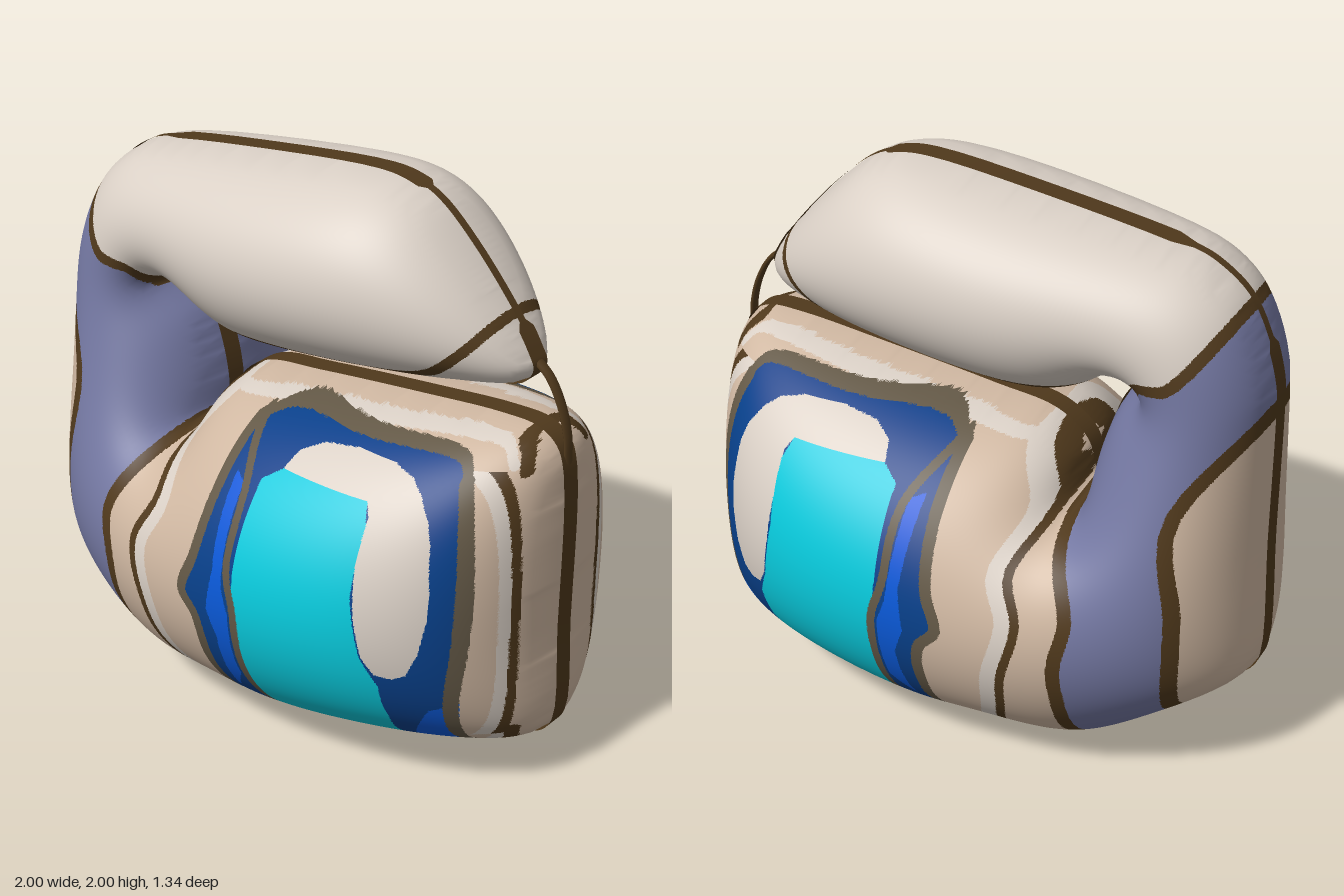
import * as THREE from 'three';

const mat = (name, color, side = THREE.FrontSide) => {
  const m = new THREE.MeshStandardMaterial({ color, side });
  m.name = name;
  return m;
};
const pairs = a => Array.from({ length: a.length / 2 }, (_, i) => [a[2 * i], a[2 * i + 1]]);

// nearest point on a polyline, as [distance, x, y]
function nearest(pts, x, y, closed) {
  let best = [Infinity, 0, 0];
  for (let i = closed ? 0 : 1; i < pts.length; i++) {
    const [ax, ay] = pts[(i + pts.length - 1) % pts.length], [bx, by] = pts[i];
    const dx = bx - ax, dy = by - ay;
    const t = Math.min(1, Math.max(0, ((x - ax) * dx + (y - ay) * dy) / (dx * dx + dy * dy || 1)));
    const px = ax + t * dx, py = ay + t * dy, d = Math.hypot(x - px, y - py);
    if (d < best[0]) best = [d, px, py];
  }
  return best;
}
function inside(pts, x, y) {
  let hit = false;
  pts.forEach(([ax, ay], i) => {
    const [bx, by] = pts[(i + 1) % pts.length];
    if (ay > y !== by > y && x < ax + (bx - ax) * (y - ay) / (by - ay)) hit = !hit;
  });
  return hit;
}

// side outline of body, neck and head
const outline = pairs([
  -.99, 1.4, -.99, .9, -.99, .44, -.96, .37, -.735, .2, -.52, .05, -.42, .01, -.29, .02, -.1, .05, 0, .01, .16, .03,
  .48, .085, .8, .14, .93, .175, .98, .24, .985, .6, .98, 1.16, .95, 1.25, .88, 1.295, .745, 1.3, .43, 1.27,
  0, 1.22, -.23, 1.185, -.34, 1.1, -.38, .98, -.4, .97, -.41, 1.08, -.43, 1.18, -.48, 1.315, -.55, 1.395,
  -.58, 1.43, -.47, 1.435, -.41, 1.38, -.31, 1.325, -.2, 1.305, 0, 1.32, .32, 1.355, .64, 1.395, .81, 1.43,
  .85, 1.485, .83, 1.535, .76, 1.64, .59, 1.835, .455, 1.95, .35, 1.99, .245, 2, -.2, 1.955, -.68, 1.88,
  -.76, 1.85, -.87, 1.765, -.945, 1.62, -.985, 1.475]);

// inflate the outline: the thickness comes from a Poisson equation solved on a grid
function inflate(edge, fullness) {
  const N = 124, W = N + 1, h = 2.04 / N, count = W * W;
  const px = new Float64Array(count), py = new Float64Array(count);
  const dist = new Float64Array(count), u = new Float64Array(count);
  for (let k = 0; k < count; k++) {
    px[k] = -1.02 + (k % W) * h;
    py[k] = -.02 + Math.floor(k / W) * h;
    const [d, qx, qy] = nearest(edge, px[k], py[k], true);
    dist[k] = inside(edge, px[k], py[k]) ? d : -d;
    if (dist[k] <= 0) { px[k] = qx; py[k] = qy; }   // outer points slide onto the outline
  }
  const nodes = [];
  for (let k = 0; k < count; k++) {
    if (dist[k] <= 0) continue;
    const [l, r, b, t] = [k - 1, k + 1, k - W, k + W].map(n =>
      dist[n] > 0 ? h : h * Math.max(.1, dist[k] / (dist[k] - dist[n])));
    const w = [2 / (l * (l + r)), 2 / (r * (l + r)), 2 / (b * (b + t)), 2 / (t * (b + t))];
    nodes.push([k, ...w, w[0] + w[1] + w[2] + w[3]]);
  }
  for (let pass = 0; pass < 400; pass++) {
    for (const [k, l, r, b, t, sum] of nodes) {
      const v = (fullness + l * u[k - 1] + r * u[k + 1] + b * u[k - W] + t * u[k + W]) / sum;
      u[k] += 1.93 * (v - u[k]);
    }
  }
  // front points first, then back points; both halves share the rim
  const pos = [], tris = [];
  for (const s of [1, -1])
    for (let k = 0; k < count; k++) pos.push(px[k], py[k], dist[k] > 0 ? s * Math.max(0, u[k]) ** .47 : 0);
  const back = k => dist[k] > 0 ? k + count : k;
  for (let j = 0; j < N; j++) for (let i = 0; i < N; i++) {
    const a = j * W + i, b = a + 1, c = b + W, d = a + W;
    const split = (i + j) % 2 ? [[a, b, c], [a, c, d]] : [[a, b, d], [b, c, d]];
    for (const t of split) {
      if (t.some(k => dist[k] > 0)) tris.push(t, [back(t[0]), back(t[2]), back(t[1])]);
    }
  }
  return { pos, tris };
}

export function createModel() {
  const model = new THREE.Group();
  const tan = mat('tan', 0xd0b8a2), cream = mat('cream', 0xdad0c6), purple = mat('purple', 0x7478a2);
  const brown = mat('dark brown', 0x50391c, THREE.DoubleSide), olive = mat('olive grey', 0x635846);
  const navy = mat('navy', 0x08408a), blue = mat('blue', 0x0a59d8), cyan = mat('cyan', 0x08cadc);

  // painted layers, later ones on top
  const layers = [];
  const layer = (name, material, test) => layers.push({ name, material, test, index: [] });
  const area = (name, material, list) => {
    const p = pairs(list);
    layer(name, material, (x, y) => inside(p, x, y));
  };
  const line = (name, material, width, list) => {
    const c = new THREE.CatmullRomCurve3(pairs(list).map(([x, y]) => new THREE.Vector3(x, y, 0)));
    const p = c.getPoints(list.length * 2).map(v => [v.x, v.y]);
    const box = new THREE.Box2().setFromPoints(p.map(([x, y]) => new THREE.Vector2(x, y))).expandByScalar(width);
    layer(name, material, (x, y) => x > box.min.x && x < box.max.x && y > box.min.y && y < box.max.y
      && nearest(p, x, y, false)[0] < width / 2);
  };
  // upright stripe on the rounded end, between two distances from the seam
  const endStripe = (name, material, z0, z1) => layer(name, material,
    (x, y, z) => x > .8 && y > .25 && y < 1.21 && Math.abs(z) > z0 && Math.abs(z) < z1);

  // neck and head
  layer('body', tan, () => true);
  area('neck', purple, [-1.1, 1.45, -.99, 1.4, -.79, 1.1, -.825, .76, -.815, .49, -.77, .23, -.75, -.1, -.455, -.1,
    -.47, .17, -.485, .39, -.485, .57, -.51, .75, -.4, .96, -.38, 1.1, -.38, 1.25, -.45, 1.4, -.58, 1.43,
    -.62, 1.505, -.735, 1.54, -.89, 1.74, -1.1, 1.95]);
  area('head', cream, [-1.1, 1.95, -.89, 1.74, -.735, 1.54, -.62, 1.505, -.58, 1.43, -.45, 1.4, -.2, 1.25,
    .8, 1.36, 1.1, 1.36, 1.1, 2.1, -1.1, 2.1]);
  line('neckRearLine', brown, .045, [-1.03, 1.43, -.99, 1.39, -.79, 1.1, -.825, .76, -.815, .49, -.77, .23, -.75, .15]);
  line('neckFrontLine', brown, .045, [-.4, .97, -.51, .75, -.485, .57, -.485, .39, -.47, .17, -.455, 0]);
  line('headNeckLine', brown, .04, [-.92, 1.78, -.89, 1.74, -.735, 1.54, -.67, 1.52, -.62, 1.505, -.58, 1.43]);
  line('headLowerLine', brown, .032, [-.42, 1.375, -.1, 1.382, .32, 1.395, .56, 1.45, .68, 1.54, .74, 1.615, .765, 1.66]);

  // cream and brown stripes around the body
  line('rearCreamStripe', cream, .055, [-.235, 1.16, -.315, 1, -.26, .85, -.315, .7, -.27, .49, -.24, .31, -.14, .06]);
  line('rearBrownStripe', brown, .03, [-.27, 1.18, -.355, 1, -.3, .85, -.355, .7, -.31, .49, -.28, .31, -.18, .04]);
  line('topCreamStripe', cream, .02, [-.23, 1.16, 0, 1.198, .43, 1.247, .745, 1.278, .85, 1.27, .9, 1.22]);
  line('endCreamCorner', cream, .03, [.915, .27, .885, .22, .83, .17]);
  line('endBrownTop', brown, .025, [.87, 1.29, .91, 1.25, .93, 1.2]);
  line('endBrownCorner', brown, .028, [.935, .27, .91, .21, .85, .15]);
  endStripe('endCreamStripe', cream, .245, .29);
  endStripe('endBrownStripe', brown, .212, .247);

  // framed side panel
  area('panel', navy, [-.03, -.1, -.01, .33, -.03, .55, -.09, .63, -.05, .76, -.03, .97, -.03, 1.16, .06, 1.2,
    .745, 1.24, .81, 1.18, .86, .92, .86, .65, .825, .39, .79, .15, .78, 0]);
  area('panelLightCorner', blue, [.77, .39, .67, .23, .62, .1, .8, .1, .85, .42]);
  area('panelNarrowStripe', blue, [.02, 1.04, .07, 1.02, .09, .7, .12, .61, .115, .35, .05, .24, .06, .5,
    .025, .6, .045, .75]);
  area('window', cyan, [.13, 1.05, .19, 1.09, .535, 1.09, .565, 1.02, .565, .81, .6, .6, .645, .49, .64, .33,
    .6, .135, .32, .075, .14, .045]);
  area('windowHighlight', cream, [.19, 1.09, .535, 1.09, .56, 1.05, .565, .9, .58, .75, .605, .6, .64, .535, .69, .525,
    .73, .545, .765, .63, .785, .75, .785, .85, .765, 1, .74, 1.07, .69, 1.135, .64, 1.17, .56, 1.188, .4, 1.188,
    .28, 1.172, .21, 1.14]);
  line('windowPost', olive, .03, [-.02, 1.17, .085, 1.01, .105, .76, .14, .63, .14, .39, .145, .02]);
  line('panelFrameRear', olive, .04, [-.01, 0, -.015, .33, -.03, .55, -.09, .63, -.05, .76, -.03, .97, -.03, 1.15]);
  line('panelFrameTop', olive, .026, [-.03, 1.155, .06, 1.202, .4, 1.222, .72, 1.24, .77, 1.225, .81, 1.17]);
  line('panelFrameEnd', olive, .038, [.8, 1.18, .83, 1.1, .86, .92, .86, .65, .825, .39, .79, .13]);

  // inflated surface
  const edge = new THREE.CatmullRomCurve3(outline.map(([x, y]) => new THREE.Vector3(x, y, 0)), true)
    .getPoints(260).slice(0, -1).map(p => [p.x, p.y]);
  const { pos, tris } = inflate(edge, 3.07);
  const skin = new THREE.BufferGeometry();
  skin.setAttribute('position', new THREE.Float32BufferAttribute(pos, 3));
  skin.setIndex(tris.flat());
  skin.computeVertexNormals();
  const nor = Array.from(skin.getAttribute('normal').array);

  // share triangles out to the layers, splitting those on a paint edge
  const layerAt = (x, y, z) => layers.findLast(l => l.test(x, y, z));
  const known = [], middles = new Map();
  const layerOf = k => known[k] ??= layerAt(pos[3 * k], pos[3 * k + 1], pos[3 * k + 2]);
  const middle = (a, b) => {
    const key = Math.min(a, b) + '_' + Math.max(a, b);
    if (!middles.has(key)) {
      middles.set(key, pos.length / 3);
      for (let i = 0; i < 3; i++) {
        pos.push((pos[3 * a + i] + pos[3 * b + i]) / 2);
        nor.push((nor[3 * a + i] + nor[3 * b + i]) / 2);
      }
    }
    return middles.get(key);
  };
  const place = (a, b, c, depth) => {
    if (depth && (layerOf(a) !== layerOf(b) || layerOf(a) !== layerOf(c))) {
      const d = middle(a, b), e = middle(b, c), f = middle(c, a);
      for (const t of [[a, d, f], [d, b, e], [f, e, c], [d, e, f]]) place(...t, depth - 1);
    } else {
      const mid = [0, 1, 2].map(i => (pos[3 * a + i] + pos[3 * b + i] + pos[3 * c + i]) / 3);
      layerAt(...mid).index.push(a, b, c);
    }
  };
  for (const t of tris) place(...t, 2);

  const add = (name, geometry, material) => {
    const mesh = new THREE.Mesh(geometry, material);
    mesh.name = name;
    model.add(mesh);
  };
  const position = new THREE.Float32BufferAttribute(pos, 3), normal = new THREE.Float32BufferAttribute(nor, 3);
  for (const l of layers) {
    const g = new THREE.BufferGeometry();
    g.setAttribute('position', position);
    g.setAttribute('normal', normal);
    g.setIndex(l.index);
    add(l.name, g, l.material);
  }

  // seam ribbon along the whole outline, narrower on the sloping ends of the head
  const rib = [], ribIndex = [], n = edge.length;
  edge.forEach(([x, y], i) => {
    const [ax, ay] = edge[(i + n - 1) % n], [bx, by] = edge[(i + 1) % n];
    const len = Math.hypot(bx - ax, by - ay) || 1;
    const ox = x + .003 * (by - ay) / len, oy = y - .003 * (bx - ax) / len;
    const w = y > 1.6 && (x > .4 || x < -.65) ? .016 : .038;
    rib.push(ox, oy, w, ox, oy, -w);
    const a = 2 * i, b = 2 * ((i + 1) % n);
    ribIndex.push(a, a + 1, b, b, a + 1, b + 1);
  });
  const seam = new THREE.BufferGeometry();
  seam.setAttribute('position', new THREE.Float32BufferAttribute(rib, 3));
  seam.setIndex(ribIndex);
  seam.computeVertexNormals();
  add('seam', seam, brown);

  // thin strap from the head tip to the body
  const path = new THREE.CatmullRomCurve3([[.83, 1.51], [.89, 1.46], [.94, 1.37], [.967, 1.27], [.972, 1.18]]
    .map(([x, y]) => new THREE.Vector3(x, y, 0)));
  add('strap', new THREE.TubeGeometry(path, 24, .009, 8).scale(1, 1, 2.5), brown);
  return model;
}
